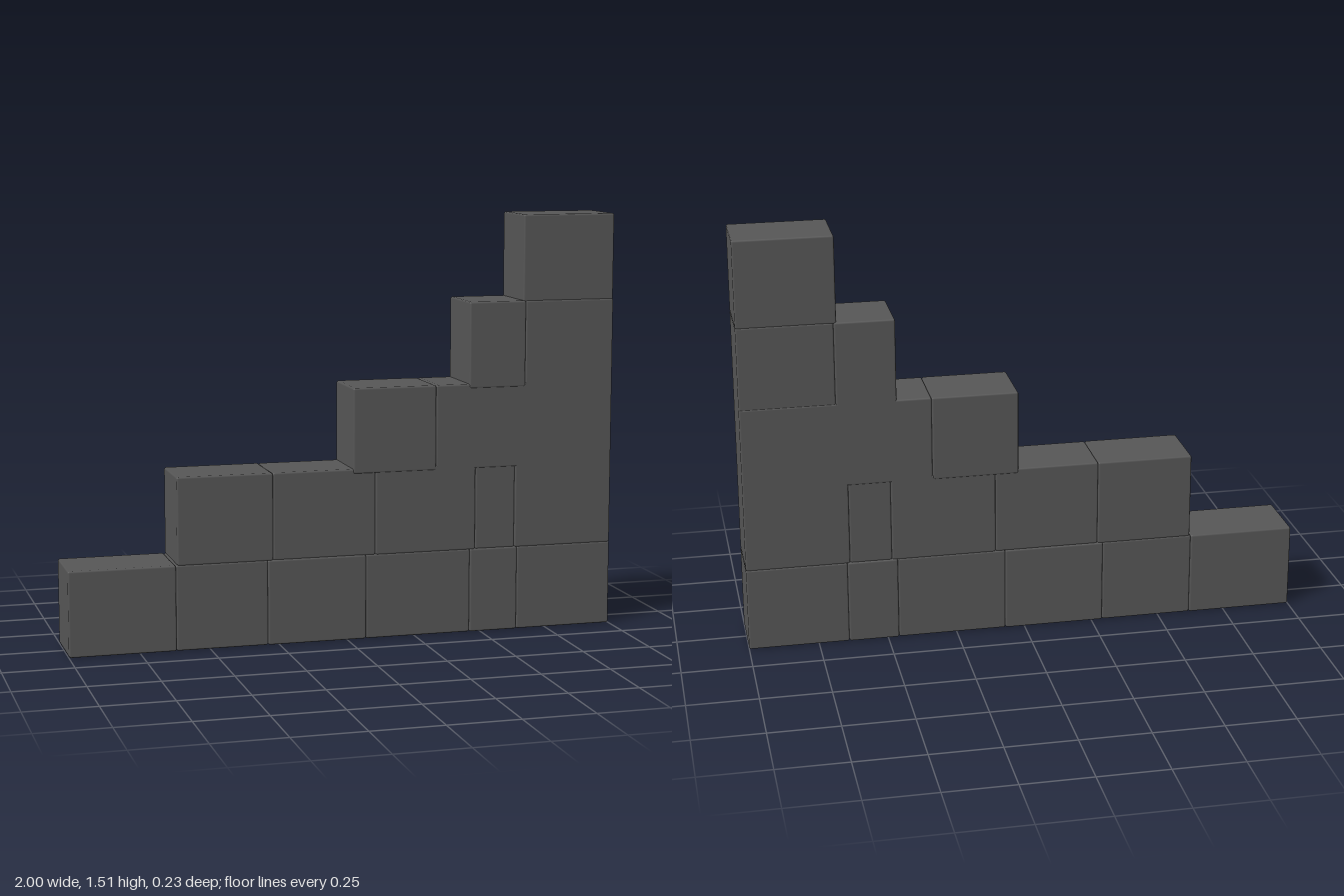
import * as THREE from 'three';
import { RoundedBoxGeometry } from 'three/addons/geometries/RoundedBoxGeometry.js';

// Each course of the wall: bottom, top, front and back depth, and the joints between blocks along x
const courses = [
  { y0: 0, y1: 0.306, front: 0.118, back: -0.116, joints: [-1, -0.62, -0.29, 0.07, 0.46, 0.64, 1] },
  { y0: 0.303, y1: 0.617, front: 0.115, back: -0.114, joints: [-0.615, -0.27, 0.105, 0.48, 0.63, 1] },
  { y0: 0.6, y1: 0.906, front: 0.117, back: -0.116, joints: [0.022, 0.33, 1] },
  { y0: 0.89, y1: 1.2, front: 0.117, back: -0.114, joints: [0.453, 0.665, 1] },
  { y0: 1.195, y1: 1.507, front: 0.111, back: -0.111, joints: [0.655, 1] },
];

export function createModel() {
  const wall = new THREE.Group();
  wall.name = 'steppedStoneWall';
  const stone = new THREE.MeshStandardMaterial({ color: 0x555555 });

  courses.forEach(({ y0, y1, front, back, joints }, row) => {
    const course = new THREE.Group();
    course.name = `course${row + 1}`;
    for (let i = 0; i < joints.length - 1; i++) {
      // Slightly chamfered block, alternate blocks set back a touch
      const inset = i % 2 ? 0.002 : 0;
      const x0 = joints[i], x1 = joints[i + 1];
      const depth = front - back - 2 * inset;
      const block = new THREE.Mesh(new RoundedBoxGeometry(x1 - x0, y1 - y0, depth, 1, 0.007), stone);
      block.position.set((x0 + x1) / 2, (y0 + y1) / 2, (front + back) / 2);
      block.name = `block${row + 1}_${i + 1}`;
      course.add(block);
    }
    wall.add(course);
  });
  return wall;
}
